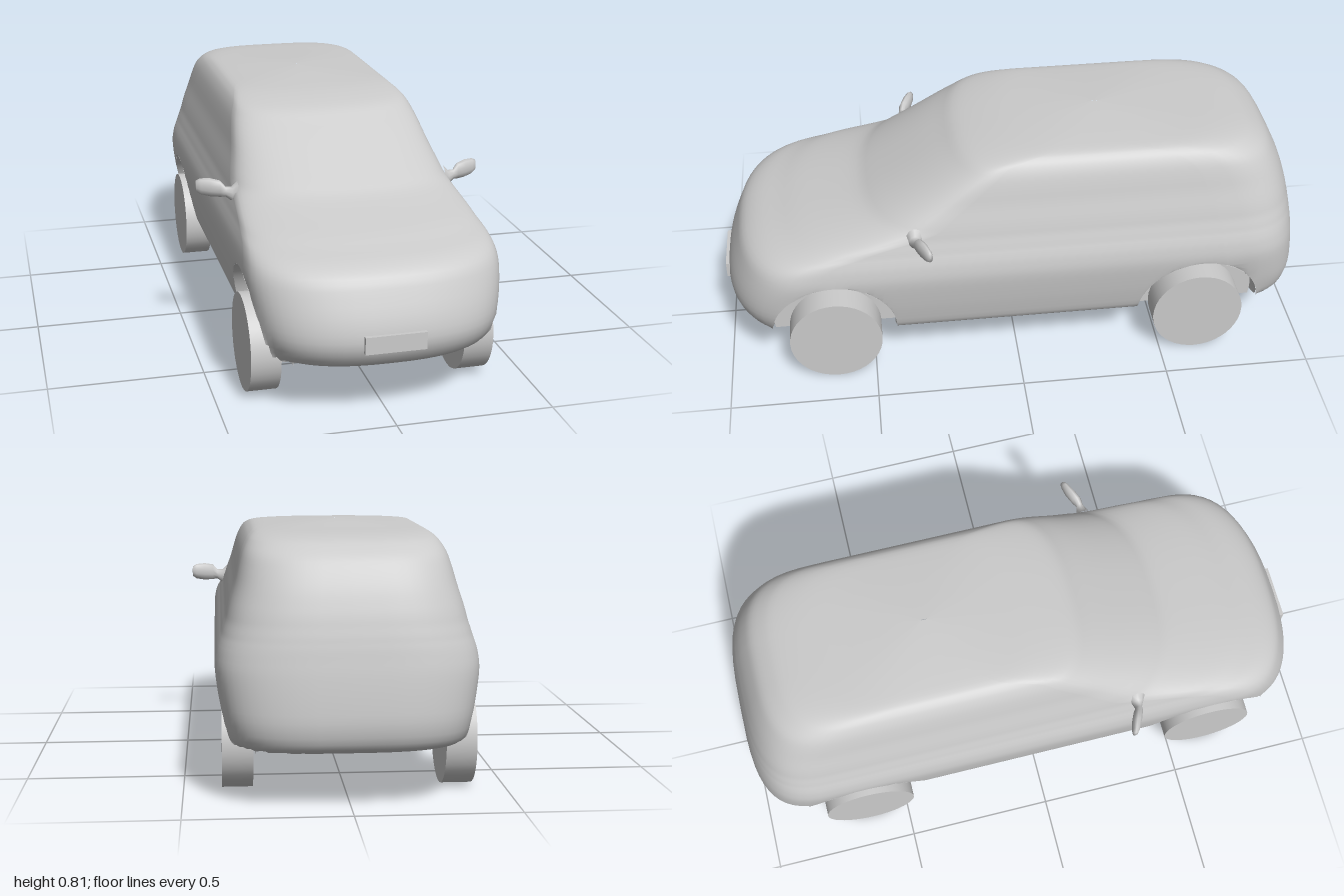
import * as THREE from 'three';

const grey = new THREE.MeshStandardMaterial({ color: 0xcccccc });
const thin = new THREE.MeshStandardMaterial({ color: 0xcccccc, side: THREE.DoubleSide });

// Body levels: height, half width, front z, rear z
const levels = [
  [0.148, 0.29, 0.80, -0.83], [0.165, 0.325, 0.90, -0.91], [0.19, 0.36, 0.955, -0.975],
  [0.25, 0.377, 0.988, -0.996], [0.32, 0.39, 0.982, -0.994], [0.40, 0.40, 0.952, -0.985],
  [0.45, 0.395, 0.925, -0.977], [0.48, 0.387, 0.875, -0.972], [0.50, 0.38, 0.80, -0.968],
  [0.52, 0.374, 0.73, -0.964], [0.545, 0.366, 0.62, -0.958], [0.57, 0.36, 0.525, -0.952],
  [0.60, 0.352, 0.47, -0.943], [0.65, 0.337, 0.385, -0.925], [0.70, 0.325, 0.30, -0.90],
  [0.74, 0.313, 0.23, -0.872], [0.768, 0.299, 0.18, -0.83], [0.785, 0.284, 0.11, -0.785],
  [0.797, 0.262, 0.03, -0.70], [0.803, 0.21, -0.04, -0.58], [0.808, 0.14, -0.12, -0.48],
  [0.812, 0.07, -0.20, -0.40], [0.815, 0.001, -0.29, -0.31],
];
const SUB = 3, CORNER = 14, SIDE = 76;
const FRONT_POWER = 2.5, REAR_POWER = 3.3;
const arches = [
  { name: 'front', z: 0.63, y: 0.195, r: 0.21 },
  { name: 'rear', z: -0.625, y: 0.18, r: 0.21 },
];
const WALL_X = 0.28, ARC_START = -0.2;

// Lengths of the rounded plan corners at a given level
function corners(y, front, rear) {
  const half = (front - rear) / 2;
  const cf = y < 0.55 ? 0.25 : THREE.MathUtils.lerp(0.25, 0.14, Math.min(1, (y - 0.55) / 0.23));
  return [Math.min(cf, half), Math.min(0.28, half)];
}

// Closed plan outline of the body, from front centre round by +x
function outline(y, w, front, rear) {
  const [cf, cr] = corners(y, front, rear);
  const half = [];
  for (let i = 0; i <= CORNER; i++) {
    const a = (i / CORNER) * Math.PI / 2, e = 2 / FRONT_POWER;
    half.push([w * Math.sin(a) ** e, front - cf + cf * Math.max(0, Math.cos(a)) ** e]);
  }
  for (let i = 1; i < SIDE; i++) {
    half.push([w, THREE.MathUtils.lerp(front - cf, rear + cr, i / SIDE)]);
  }
  for (let i = CORNER; i >= 0; i--) {
    const a = (i / CORNER) * Math.PI / 2, e = 2 / REAR_POWER;
    half.push([w * Math.sin(a) ** e, rear + cr - cr * Math.max(0, Math.cos(a)) ** e]);
  }
  const other = half.slice(1, -1).reverse().map(([x, z]) => [-x, z]);
  return [...half, ...other].map(([x, z]) => new THREE.Vector3(x, y, z));
}

// Half width of the body at any height and z
function halfWidth(y, z) {
  const i = Math.max(1, levels.findIndex((l) => l[0] >= y));
  const a = levels[i - 1], b = levels[i];
  const t = THREE.MathUtils.clamp((y - a[0]) / (b[0] - a[0]), 0, 1);
  const [w, f, r] = [1, 2, 3].map((k) => THREE.MathUtils.lerp(a[k], b[k], t));
  const [cf, cr] = corners(y, f, r);
  const df = THREE.MathUtils.clamp((z - f + cf) / cf, 0, 1);
  const dr = THREE.MathUtils.clamp((r + cr - z) / cr, 0, 1);
  return w * (1 - df ** FRONT_POWER) ** (1 / FRONT_POWER) * (1 - dr ** REAR_POWER) ** (1 / REAR_POWER);
}

// Skin over closed rings; triangles wholly inside a cut are left out
function loft(rings, isCut = () => false) {
  const n = rings[0].length, points = rings.flat(), index = [];
  const add = (...t) => { if (!t.every((k) => isCut(points[k]))) index.push(...t); };
  for (let i = 0; i < rings.length - 1; i++) {
    for (let j = 0; j < n; j++) {
      const k = (j + 1) % n, a = i * n + j, b = i * n + k;
      add(a, b, b + n);
      add(a, b + n, a + n);
    }
  }
  return { points, index };
}

function toGeometry({ points, index }) {
  const g = new THREE.BufferGeometry().setFromPoints(points);
  g.setIndex(index);
  g.computeVertexNormals();
  return g;
}

function archAt(p) {
  return arches.find((a) => Math.hypot(p.z - a.z, p.y - a.y) < a.r || (p.y < a.y && Math.abs(p.z - a.z) < a.r));
}

function bodyGeometry() {
  const curves = [1, 2, 3].map((k) => new THREE.SplineCurve(levels.map((l) => new THREE.Vector2(l[0], l[k]))));
  const rings = [], count = (levels.length - 1) * SUB;
  for (let i = 0; i <= count; i++) {
    const [w, f, r] = curves.map((c) => c.getPoint(i / count));
    rings.push(outline(w.x, w.y, f.y, r.y));
  }
  const skin = loft(rings, archAt);
  // Slide the leftover points onto the rim of the arch
  for (const p of skin.points) {
    const a = archAt(p);
    if (!a) continue;
    if (p.y < a.y) {
      p.z = a.z + Math.sign(p.z - a.z) * a.r;
    } else {
      const s = a.r / Math.hypot(p.z - a.z, p.y - a.y);
      p.z = a.z + (p.z - a.z) * s;
      p.y = a.y + (p.y - a.y) * s;
    }
  }
  return toGeometry(skin);
}

// Flat underside, narrow enough to pass between the wheel arches
function floorGeometry() {
  const points = outline(...levels[0]), n = points.length, index = [];
  points.forEach((p) => {
    const inArch = arches.some((a) => Math.abs(p.z - a.z) < a.r);
    if (inArch) p.x = THREE.MathUtils.clamp(p.x, -WALL_X, WALL_X);
  });
  points.push(new THREE.Vector3(0, levels[0][0], 0));
  for (let j = 0; j < n; j++) index.push(n, (j + 1) % n, j);
  return toGeometry({ points, index });
}

// Curved roof of a wheel arch, reaching out to the body side
function linerGeometry(arch) {
  const points = [], index = [], steps = 32;
  for (let i = 0; i <= steps; i++) {
    const a = THREE.MathUtils.lerp(ARC_START, Math.PI - ARC_START, i / steps);
    const z = arch.z + Math.cos(a) * arch.r, y = arch.y + Math.sin(a) * arch.r;
    points.push(new THREE.Vector3(WALL_X, y, z), new THREE.Vector3(Math.max(WALL_X, halfWidth(y, z)), y, z));
    if (i < steps) {
      const k = i * 2;
      index.push(k, k + 1, k + 3, k, k + 3, k + 2);
    }
  }
  return toGeometry({ points, index });
}

// Door mirror: slim arm swelling into a rounded head
function mirrorGeometry() {
  // x, y, z, half height, half depth
  const sections = [
    [0.35, 0.555, 0.345, 0.038, 0.03], [0.368, 0.55, 0.345, 0.025, 0.02], [0.388, 0.558, 0.342, 0.017, 0.012],
    [0.405, 0.567, 0.335, 0.028, 0.017], [0.435, 0.57, 0.322, 0.031, 0.018],
    [0.465, 0.572, 0.31, 0.027, 0.014], [0.479, 0.573, 0.304, 0.018, 0.009], [0.48, 0.573, 0.304, 0.001, 0.001],
  ];
  const rings = sections.map(([x, y, z, h, d]) => Array.from({ length: 10 }, (_, j) => {
    const a = (j / 10) * Math.PI * 2;
    return new THREE.Vector3(x, y + h * Math.cos(a), z + d * Math.sin(a));
  }));
  return toGeometry(loft(rings));
}

export function createModel() {
  const model = new THREE.Group();
  model.name = 'car';
  const add = (name, geometry, material = grey) => {
    const mesh = new THREE.Mesh(geometry, material);
    mesh.name = name;
    model.add(mesh);
    return mesh;
  };

  add('body', bodyGeometry());
  add('floor', floorGeometry());
  add('numberPlate', new THREE.BoxGeometry(0.19, 0.055, 0.016)).position.set(-0.005, 0.268, 0.99);

  const wheel = new THREE.CylinderGeometry(0.157, 0.157, 0.095, 40).rotateZ(Math.PI / 2);
  const mirror = mirrorGeometry();
  for (const [side, s, wheelX] of [['left', 1, 0.333], ['right', -1, -0.352]]) {
    add(side + 'Mirror', mirror).scale.x = s;
    for (const arch of arches) {
      const label = `${side}-${arch.name}`;
      add(label + ' wheel', wheel).position.set(wheelX, 0.157, arch.z);
      add(label + ' arch liner', linerGeometry(arch), thin).scale.x = s;
      const wall = new THREE.Shape().absarc(0, 0, arch.r, ARC_START, Math.PI - ARC_START);
      const wallMesh = add(label + ' arch wall', new THREE.ShapeGeometry(wall, 24), thin);
      wallMesh.rotation.y = Math.PI / 2;
      wallMesh.position.set(s * WALL_X, arch.y, arch.z);
    }
  }
  return model;
}
